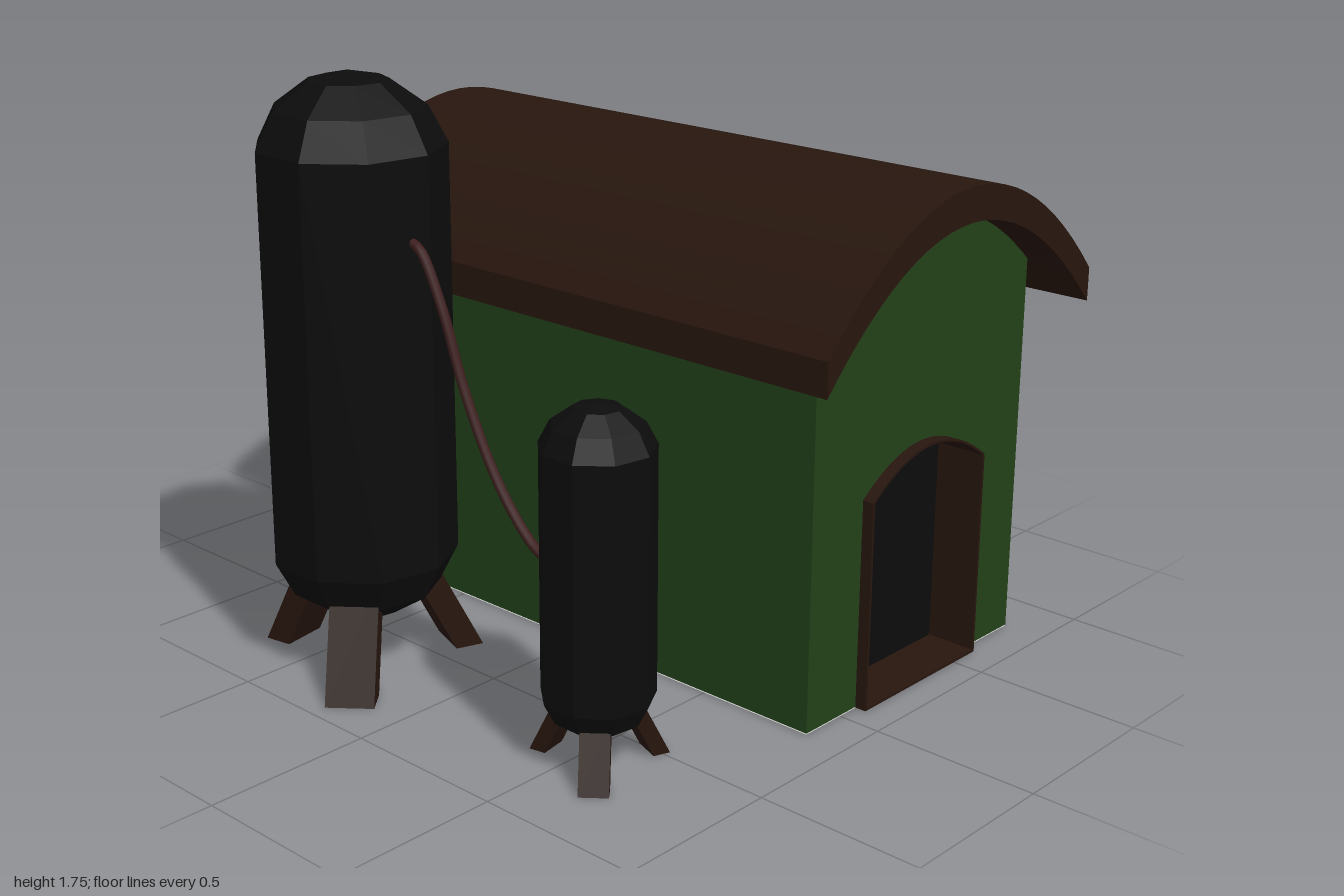
import * as THREE from 'three';

const mat = (color, extra = {}) => new THREE.MeshStandardMaterial({ color, ...extra });
const GREEN = mat(0x224119), BROWN = mat(0x27160e), BLACK = mat(0x0c0c0c);
const TANK = mat(0x0c0c0c, { flatShading: true }), HOSE = mat(0x3c1c1c);
const GREY = mat(0xcccccc, { side: THREE.DoubleSide });
const CX = 0.335; // middle of the house

function add(parent, name, geometry, material) {
  const mesh = new THREE.Mesh(geometry, material);
  mesh.name = name;
  parent.add(mesh);
  return mesh;
}

// Parabolic arc of points around x = 0, from right to left
function arc(half, top, bend, n = 24) {
  return Array.from({ length: n + 1 }, (_, i) => {
    const x = half * (1 - (2 * i) / n);
    return new THREE.Vector2(x, top - bend * x * x);
  });
}

// Upright outline with an arched top
const arched = (half, base, top, bend) => [
  new THREE.Vector2(-half, base), new THREE.Vector2(half, base), ...arc(half, top, bend)];

// Extrusion between two z positions
function extrude(shape, z0, z1) {
  const g = new THREE.ExtrudeGeometry(shape, { depth: z1 - z0, bevelEnabled: false });
  return g.translate(0, 0, z0);
}

function makeHouse() {
  const house = new THREE.Group();
  house.name = 'house';
  house.position.x = CX;

  // Walls: solid body, and a front slab with the doorway cut out
  const wall = arched(0.485, 0.003, 1.376, 0.927);
  add(house, 'walls', extrude(new THREE.Shape(wall), -0.87, 0.74), GREEN);
  const front = new THREE.Shape([
    new THREE.Vector2(-0.485, 0.003), new THREE.Vector2(-0.264, 0.003),
    ...arc(0.264, 0.729, 1.495).reverse(),
    new THREE.Vector2(0.264, 0.003), new THREE.Vector2(0.485, 0.003),
    ...arc(0.485, 1.376, 0.927)]);
  add(house, 'frontWall', extrude(front, 0.74, 0.87), GREEN);

  // Underside
  const floor = add(house, 'floor', new THREE.PlaneGeometry(0.97, 1.74), GREY);
  floor.rotation.x = Math.PI / 2;

  // Thin door lining around a recessed dark panel
  const frame = new THREE.Shape(arched(0.265, 0.001, 0.73, 1.495));
  frame.holes.push(new THREE.Path(arched(0.257, 0.009, 0.722, 1.495)));
  add(house, 'doorFrame', extrude(frame, 0.745, 0.905), BROWN);
  const panel = add(house, 'door', new THREE.ShapeGeometry(
    new THREE.Shape(arched(0.26, 0.005, 0.725, 1.495))), BLACK);
  panel.position.z = 0.75;

  // Curved roof slab
  const roof = new THREE.Shape([
    ...arc(0.61, 1.475, 0.927), ...arc(0.61, 1.375, 0.927).reverse()]);
  add(house, 'roof', extrude(roof, -1, 1), BROWN);
  return house;
}

// Nine-sided tank on three splayed legs
function makeTank(name, z, scale) {
  const tank = new THREE.Group();
  tank.name = name;
  tank.position.set(-0.65, 0, z);
  tank.scale.setScalar(scale);

  const profile = [[0, 0.165], [0.1, 0.165], [0.216, 0.24], [0.27, 0.345],
    [0.27, 1.54], [0.216, 1.645], [0.113, 1.72], [0, 1.745]]
    .map(([r, y]) => new THREE.Vector2(r, y));
  add(tank, 'tankBody', new THREE.LatheGeometry(profile, 9, Math.PI / 18), TANK);

  for (const degrees of [70, 190, 310]) {
    // Box sheared outward towards the ground
    const g = new THREE.BoxGeometry(0.14, 0.32, 0.085).translate(0, 0.16, 0.293);
    const p = g.attributes.position;
    for (let i = 0; i < p.count; i++) p.setZ(i, p.getZ(i) - 0.5 * p.getY(i));
    g.computeVertexNormals();
    add(tank, 'tankLeg', g, BROWN).rotation.y = THREE.MathUtils.degToRad(degrees);
  }
  return tank;
}

export function createModel() {
  const model = new THREE.Group();
  model.name = 'houseWithTanks';
  model.add(makeHouse(), makeTank('largeTank', -0.375, 1), makeTank('smallTank', 0.56, 0.583));

  // Hose hanging between the tanks
  const path = new THREE.CatmullRomCurve3([
    [1.31, -0.13], [1.29, -0.09], [1.145, -0.01], [0.935, 0.07],
    [0.71, 0.19], [0.58, 0.3], [0.54, 0.36], [0.53, 0.44],
  ].map(([y, z]) => new THREE.Vector3(-0.655, y, z)));
  add(model, 'hose', new THREE.TubeGeometry(path, 40, 0.014, 8), HOSE);
  return model;
}
